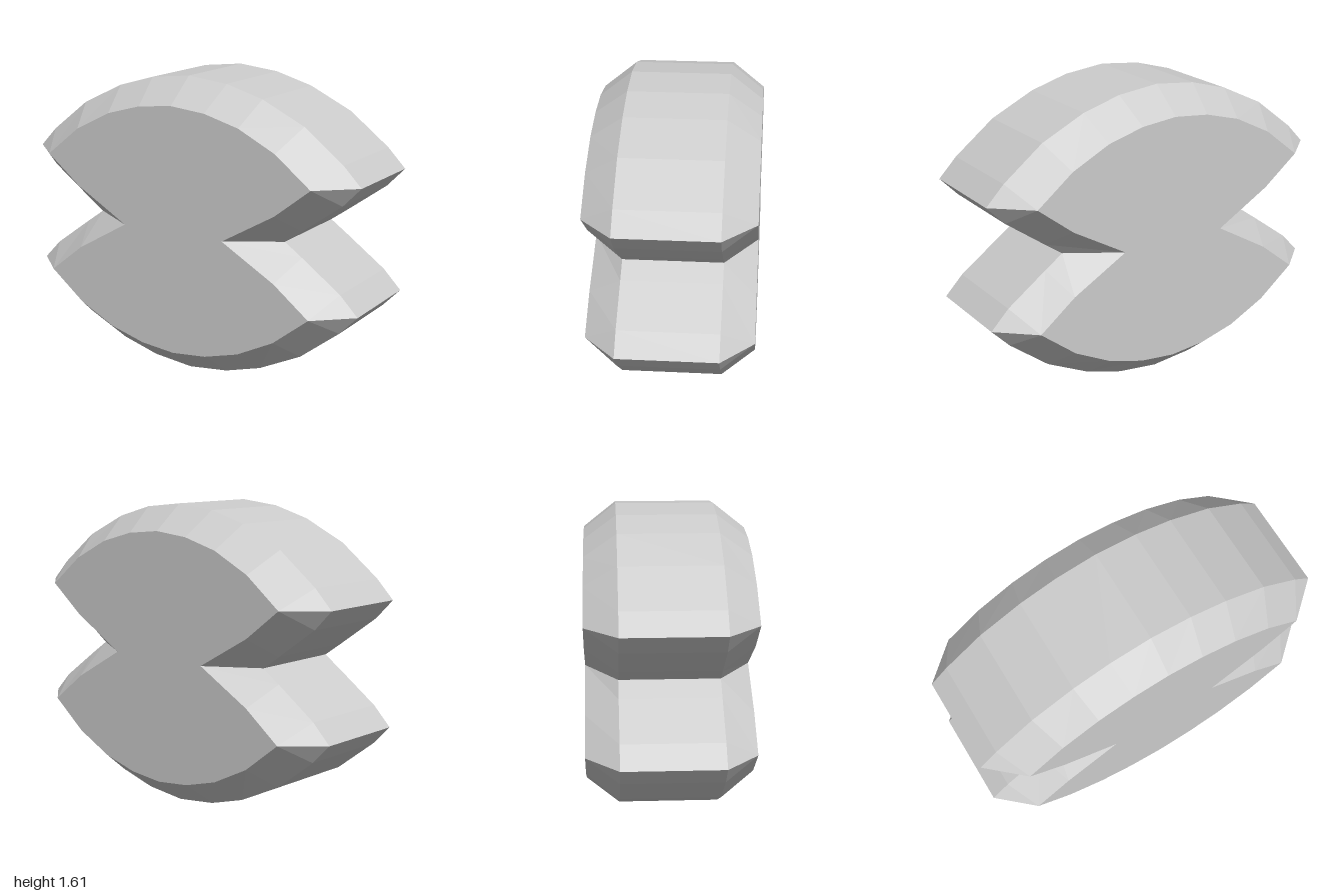
import * as THREE from 'three';

const MID = 0.805; // waist height, the mirror line between the two lenses
const RIM_Z = 0.26, FACE_Z = 0.43;

// Upper-left quarter of the outline: [rim x, rim y, face x, face y]
const QUARTER = [
  [0, 1.61, 0, 1.475],
  [0.23, 1.585, 0.20, 1.455],
  [0.44, 1.525, 0.40, 1.40],
  [0.68, 1.41, 0.61, 1.295],
  [0.90, 1.24, 0.81, 1.137],
  [1.00, 1.137, 0.81, 1.137],
  [0.90, 1.034, 0.81, 1.137],
  [0.68, 0.875, 0.61, 0.98],
  [0.58, MID, 0.305, MID],
];

// Mirrors the quarter into a closed clockwise loop
function fullLoop(k) {
  const q = QUARTER.map((p) => new THREE.Vector2(p[k], p[k + 1]));
  const lower = q.slice(0, -1).reverse().map((p) => new THREE.Vector2(p.x, 2 * MID - p.y));
  const right = [...q, ...lower];
  const left = right.slice(1, -1).reverse().map((p) => new THREE.Vector2(-p.x, p.y));
  return [...right, ...left];
}

function buildGeometry(triangles) {
  const geometry = new THREE.BufferGeometry().setFromPoints(triangles.flat());
  geometry.computeVertexNormals();
  return geometry;
}

// Skins two loops, leaving out triangles that collapse to a line
function band(loopA, zA, loopB, zB) {
  const triangles = [];
  const add = (a, b, c) => {
    if (new THREE.Triangle(a, b, c).getArea() > 1e-6) triangles.push([a, b, c]);
  };
  const at = (p, z) => new THREE.Vector3(p.x, p.y, z);
  loopA.forEach((p, i) => {
    const j = (i + 1) % loopA.length;
    const a = at(p, zA), b = at(loopA[j], zA);
    const c = at(loopB[j], zB), d = at(loopB[i], zB);
    add(a, b, c);
    add(a, c, d);
  });
  return buildGeometry(triangles);
}

export function createModel() {
  const group = new THREE.Group();
  group.name = 'doubleLensBlock';
  const material = new THREE.MeshStandardMaterial({ color: 0xcccccc, flatShading: true });
  const add = (name, geometry) => {
    const mesh = new THREE.Mesh(geometry, material);
    mesh.name = name;
    group.add(mesh);
    return mesh;
  };

  const rim = fullLoop(0), face = fullLoop(2);

  // Outer rim and the sloping bevels on both sides of it
  add('rim', band(rim, RIM_Z, rim, -RIM_Z));
  add('frontBevel', band(face, FACE_Z, rim, RIM_Z));
  add('backBevel', band(rim, -RIM_Z, face, -FACE_Z));

  // Flat front and back faces
  const outline = face.filter((p, i) => p.distanceTo(face[(i + 1) % face.length]) > 1e-6);
  const cap = new THREE.ShapeGeometry(new THREE.Shape(outline));
  add('frontFace', cap).position.z = FACE_Z;
  const back = add('backFace', cap);
  back.position.z = -FACE_Z;
  back.rotation.y = Math.PI;

  return group;
}
